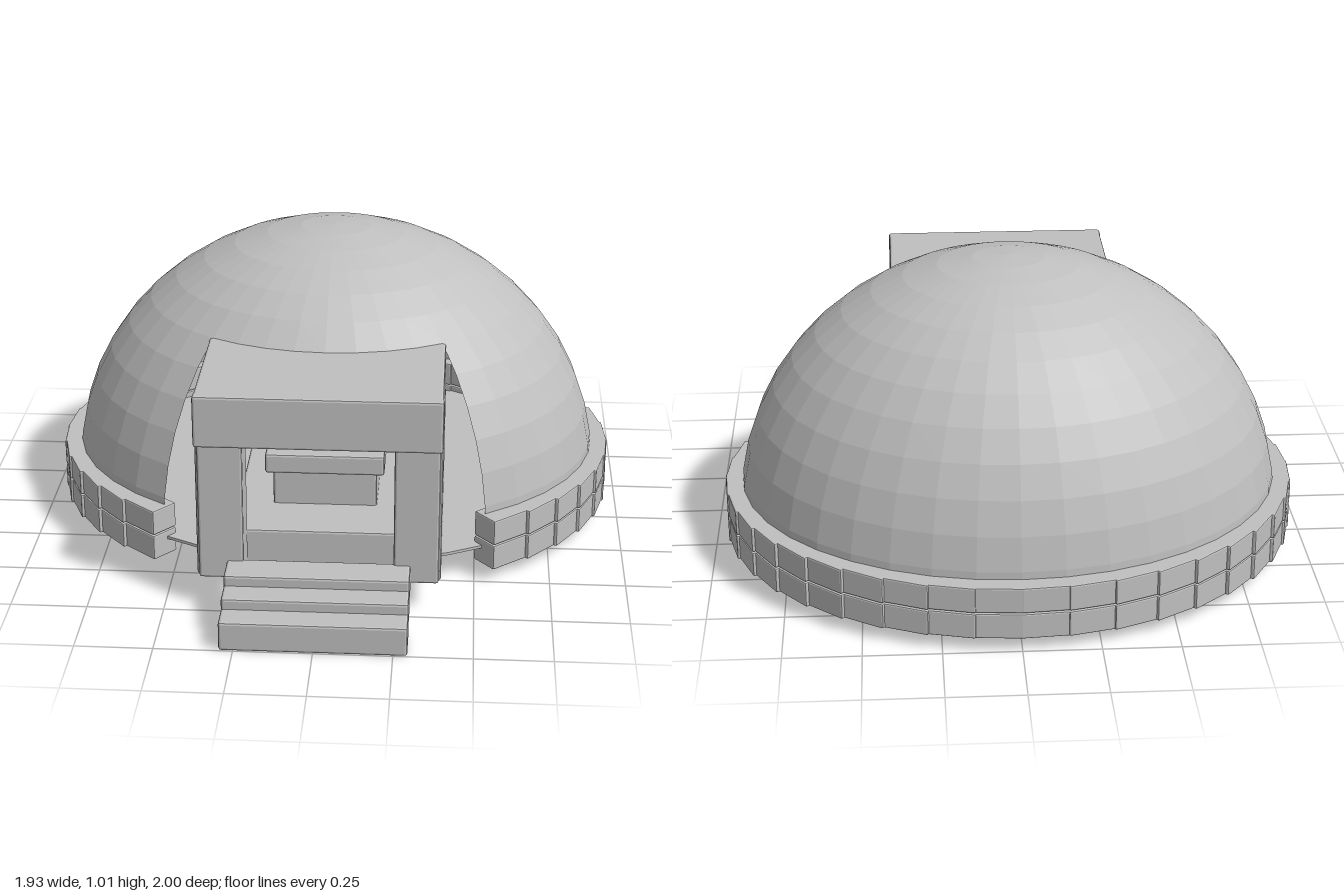
import * as THREE from 'three';
import { RoundedBoxGeometry } from 'three/addons/geometries/RoundedBoxGeometry.js';

const RX = 0.91, RZ = 0.775, RY = 0.875; // dome radii
const CZ = -0.175, BASE = 0.135;         // dome centre
const GAP = Math.PI / 5;                 // half angle of the front opening

export function createModel() {
  const model = new THREE.Group();
  const stone = new THREE.MeshStandardMaterial({ color: 0xc0c0c0, flatShading: true });
  stone.name = 'grey stone';
  const shell = new THREE.MeshStandardMaterial({ color: 0xc0c0c0, flatShading: true, side: THREE.DoubleSide });
  shell.name = 'grey shell';

  const add = (parent, name, geometry, material = stone) => {
    const mesh = new THREE.Mesh(geometry, material);
    mesh.name = name;
    parent.add(mesh);
    return mesh;
  };
  const group = (name) => {
    const g = new THREE.Group();
    g.name = name;
    model.add(g);
    return g;
  };
  // bevelled box given by its limits
  const box = (parent, name, x0, x1, y0, y1, z0, z1) => {
    const g = new RoundedBoxGeometry(x1 - x0, y1 - y0, z1 - z0, 1, 0.008);
    add(parent, name, g).position.set((x0 + x1) / 2, (y0 + y1) / 2, (z0 + z1) / 2);
  };

  // dome: closed cap above, open wedge at the front below
  const dome = group('dome');
  dome.position.set(0, BASE, CZ);
  dome.scale.set(RX, RY, RZ);
  add(dome, 'domeCap', new THREE.SphereGeometry(1, 40, 6, Math.PI / 2 + GAP, Math.PI * 2, 0, Math.PI / 4), shell);
  add(dome, 'domeWall', new THREE.SphereGeometry(1, 32, 6, Math.PI / 2 + GAP, 2 * (Math.PI - GAP), Math.PI / 4, Math.PI / 4), shell);

  // floor
  const floor = add(model, 'floor', new THREE.CylinderGeometry(1, 1, 0.01, 40));
  floor.scale.set(RX, 1, RZ);
  floor.position.set(0, 0.108, CZ);

  // two courses of foundation blocks
  const foundation = group('foundation');
  const blockGeometry = new RoundedBoxGeometry(0.16, 0.087, 0.1, 1, 0.005);
  const count = 32, step = 2 * (Math.PI - GAP) / count;
  for (const y of [0.09, 0.181]) {
    for (let i = 0; i < count; i++) {
      const a = GAP + (i + 0.5) * step;
      const block = add(foundation, 'foundationBlock', blockGeometry);
      block.position.set(RX * Math.sin(a), y, CZ + RZ * Math.cos(a));
      block.rotation.y = a;
    }
  }

  // entrance porch
  const porch = group('porch');
  for (const s of [-1, 1]) {
    const side = (name, a, b, ...rest) => box(porch, name, Math.min(s * a, s * b), Math.max(s * a, s * b), ...rest);
    side('doorPost', 0.24, 0.385, 0.105, 0.6, 0.6, 0.72);
    side('porchWall', 0.34, 0.392, 0.112, 0.63, 0.24, 0.71);
  }
  box(porch, 'porchRoof', -0.39, 0.39, 0.61, 0.752, 0.24, 0.735);
  box(porch, 'lintel', -0.392, 0.392, 0.578, 0.752, 0.71, 0.75);

  // steps
  const steps = group('steps');
  for (let i = 0; i < 3; i++) {
    const y = 0.035 * i, z = 1 - 0.088 * i;
    box(steps, 'step', -0.295, 0.295, y, y + 0.098, z - 0.12, z);
  }

  // inner platform with a table
  const interior = group('interior');
  box(interior, 'platform', -0.29, 0.29, 0.095, 0.22, -0.03, 0.6);
  box(interior, 'tableBase', -0.172, 0.172, 0.21, 0.35, 0.14, 0.4);
  box(interior, 'tableTop', -0.197, 0.197, 0.34, 0.408, 0.115, 0.425);

  return model;
}
